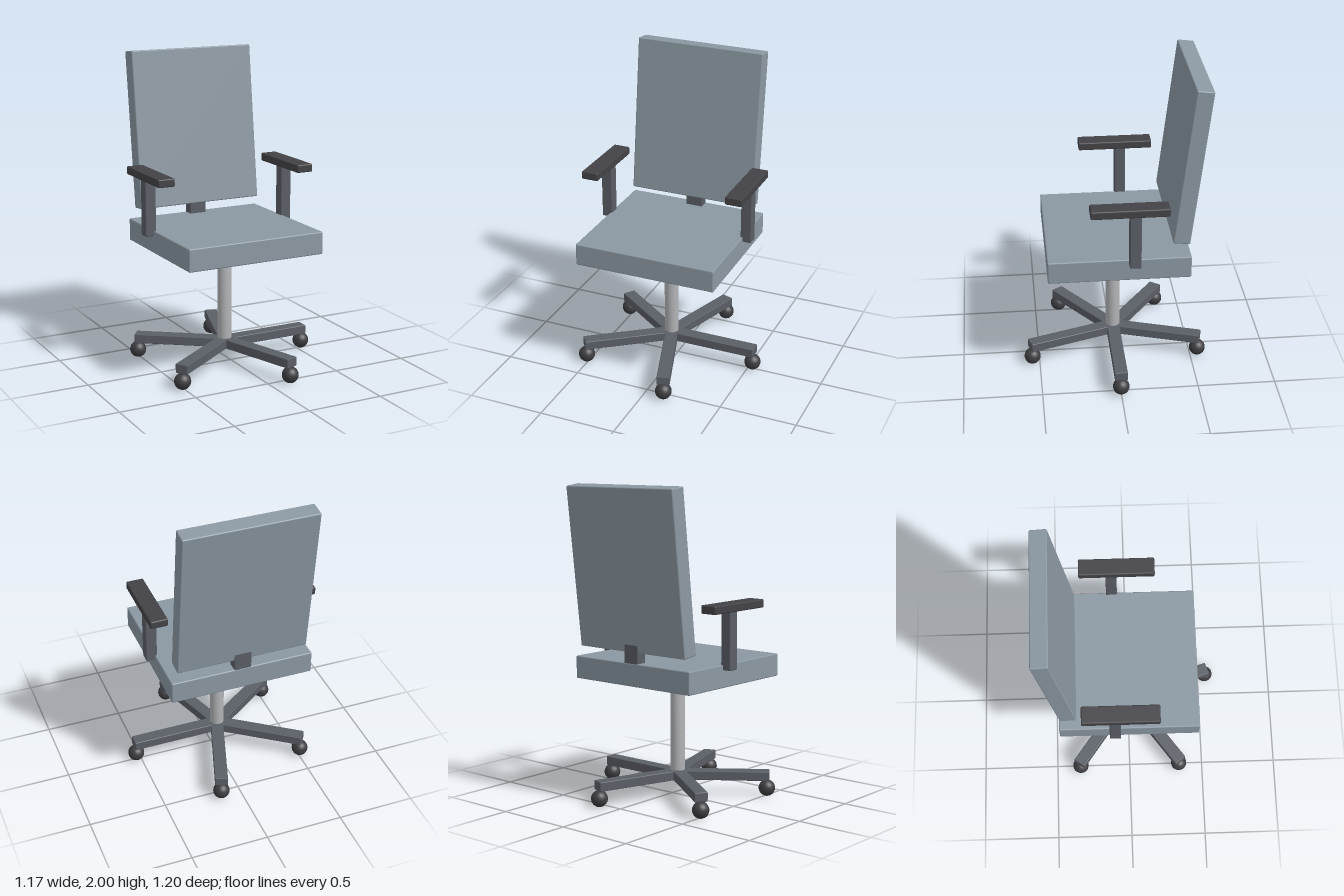
import * as THREE from 'three';
import { RoundedBoxGeometry } from 'three/addons/geometries/RoundedBoxGeometry.js';

const material = (name, color) => {
  const m = new THREE.MeshStandardMaterial({ color });
  m.name = name;
  return m;
};

export function createModel() {
  const upholstery = material('blue grey upholstery', 0x8b98a2);
  const frame = material('dark grey frame', 0x5a5e66);
  const padding = material('charcoal arm pad', 0x434246);
  const metal = material('light metal', 0xb6b7ba);
  const rubber = material('caster rubber', 0x3d3c40);

  const chair = new THREE.Group();
  chair.name = 'officeChair';
  // All parts are laid out around the gas column, which sits slightly off centre.
  const body = new THREE.Group();
  body.name = 'chairBody';
  body.position.x = -0.045;
  chair.add(body);

  const add = (parent, name, geometry, mat, x, y, z) => {
    const mesh = new THREE.Mesh(geometry, mat);
    mesh.name = name;
    mesh.position.set(x, y, z);
    parent.add(mesh);
    return mesh;
  };
  const box = (w, h, d, r = 0.008) => new RoundedBoxGeometry(w, h, d, 2, r);

  // Five-star base: each leg carries a ball caster near its tip
  const legGeometry = box(0.59, 0.06, 0.083, 0.005);
  const casterGeometry = new THREE.SphereGeometry(0.053, 24, 16);
  for (let i = 0; i < 5; i++) {
    const spoke = new THREE.Group();
    spoke.name = 'baseSpoke';
    spoke.rotation.y = (i * Math.PI * 2) / 5;
    add(spoke, 'baseLeg', legGeometry, frame, 0.295, 0.135, 0);
    add(spoke, 'caster', casterGeometry, rubber, 0.575, 0.053, 0);
    body.add(spoke);
  }

  // Gas column with softened rims
  const r = 0.046;
  const profile = [[0, 0.14], [r, 0.14], [r, 0.74], [r - 0.003, 0.747], [r - 0.01, 0.75], [0, 0.75]]
    .map(([x, y]) => new THREE.Vector2(x, y));
  add(body, 'gasColumn', new THREE.LatheGeometry(profile, 32), metal, 0, 0, 0);

  // Seat, reclined backrest and the bracket joining them
  add(body, 'seat', box(0.93, 0.145, 0.892), upholstery, 0, 0.842, -0.002);
  const back = add(body, 'backrest', box(0.852, 1.015, 0.107), upholstery, 0, 1.49, -0.4475);
  back.rotation.x = -0.119;
  add(body, 'backBracket', box(0.112, 0.25, 0.07, 0.005), frame, 0, 0.955, -0.411);

  // Armrests
  for (const side of [-1, 1]) {
    const arm = new THREE.Group();
    arm.name = side > 0 ? 'leftArmrest' : 'rightArmrest';
    arm.position.x = side * 0.485;
    add(arm, 'armPost', box(0.071, 0.37, 0.071, 0.006), frame, 0, 1.067, -0.093);
    add(arm, 'armPad', box(0.111, 0.052, 0.482), padding, 0, 1.268, -0.058);
    body.add(arm);
  }
  return chair;
}
